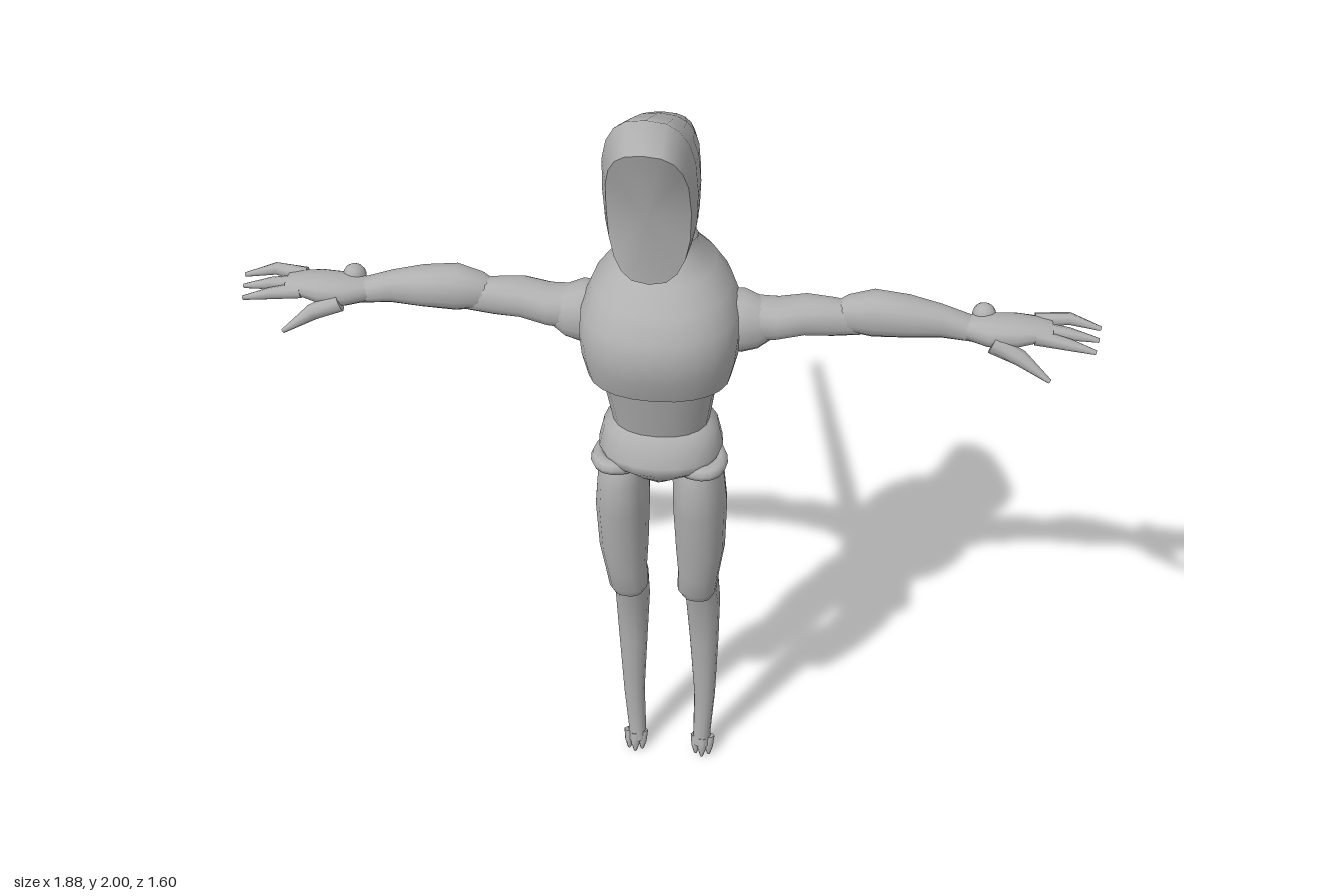
import * as THREE from 'three';

const bodyGrey = new THREE.MeshStandardMaterial({ color: 0xb0b0b0 });
bodyGrey.name = 'body grey';
const V = (x, y, z) => new THREE.Vector3(x, y, z);

// Skin a list of rings, with crisp flat caps, always facing outward
function skin(rings) {
  const n = rings[0].length, pos = [], idx = [];
  const put = p => pos.push(p.x, p.y, p.z) / 3 - 1;
  rings.forEach(r => r.forEach(put));
  for (let i = 0; i < rings.length - 1; i++) {
    for (let j = 0; j < n; j++) {
      const a = i * n + j, b = i * n + (j + 1) % n;
      idx.push(a, b, b + n, a, b + n, a + n);
    }
  }
  [rings[0], rings[rings.length - 1]].forEach((r, end) => {
    const c = put(r.reduce((s, p) => s.add(p), V(0, 0, 0)).divideScalar(n));
    const start = c + 1;
    r.forEach(put);
    for (let j = 0; j < n; j++) {
      const a = start + j, b = start + (j + 1) % n;
      if (end) idx.push(c, a, b); else idx.push(c, b, a);
    }
  });
  const at = i => V(pos[i * 3], pos[i * 3 + 1], pos[i * 3 + 2]);
  const o = at(0);
  let vol = 0;
  for (let i = 0; i < idx.length; i += 3) {
    const [a, b, c] = [at(idx[i]).sub(o), at(idx[i + 1]).sub(o), at(idx[i + 2]).sub(o)];
    vol += a.dot(b.cross(c));
  }
  if (vol < 0) idx.reverse();
  const g = new THREE.BufferGeometry();
  g.setAttribute('position', new THREE.Float32BufferAttribute(pos, 3));
  g.setIndex(idx);
  g.computeVertexNormals();
  return g;
}

// Rounded unit ring; a lower power is boxier
function unitRing(n, power = 1) {
  const f = v => Math.sign(v) * Math.pow(Math.abs(v), power);
  return Array.from({ length: n }, (_, i) => {
    const a = i / n * Math.PI * 2;
    return [f(Math.cos(a)), f(Math.sin(a))];
  });
}

// Rows: [station, uMin, uMax, zMin, zMax]; u is x for upright parts, y for arms
function loft(rows, along = 'y', side = 1, n = 16, power = 0.9) {
  return skin(rows.map(([s, u0, u1, z0, z1]) => unitRing(n, power).map(([a, b]) => {
    const u = (u0 + u1) / 2 + a * (u1 - u0) / 2;
    const z = (z0 + z1) / 2 + b * (z1 - z0) / 2;
    return along === 'y' ? V(u * side, s, z) : V(s * side, u, z);
  })));
}

// Round tapering limb through points [x, y, z, radius]
function taper(points, side = 1, n = 8) {
  const ps = points.map(p => V(p[0] * side, p[1], p[2]));
  return skin(ps.map((p, i) => {
    const dir = ps[Math.min(i + 1, ps.length - 1)].clone().sub(ps[Math.max(i - 1, 0)]).normalize();
    const q = new THREE.Quaternion().setFromUnitVectors(V(0, 0, 1), dir);
    return unitRing(n).map(([a, b]) => V(a, b, 0).multiplyScalar(points[i][3]).applyQuaternion(q).add(p));
  }));
}

export function createModel() {
  const model = new THREE.Group();
  model.name = 'tailedFigure';
  const add = (name, geometry) => {
    const m = new THREE.Mesh(geometry, bodyGrey);
    m.name = name;
    model.add(m);
    return m;
  };
  const sym = rows => rows.map(([y, w, z0, z1]) => [y, -w, w, z0, z1]);

  // Swept-back head: [topZ, topY, bottomZ, bottomY, halfWidth, bow]
  const head = [
    [0.80, 1.95, 0.74, 1.62, 0.085, 0.045], [0.75, 2.0, 0.70, 1.635, 0.096, 0.025],
    [0.66, 1.96, 0.62, 1.66, 0.095, 0], [0.56, 1.915, 0.55, 1.69, 0.085, 0],
    [0.48, 1.875, 0.47, 1.745, 0.066, 0], [0.41, 1.815, 0.415, 1.785, 0.035, 0],
  ];
  add('head', skin(head.map(([tz, ty, bz, by, w, bow]) => unitRing(20, 0.75).map(([a, b]) => {
    const t = (b + 1) / 2;
    return V(a * w, by + (ty - by) * t, bz + (tz - bz) * t - bow * (1 - b * b));
  }))));

  // Neck core and overlapping plates
  add('neck', taper([[0, 1.56, 0.50, 0.06], [0, 1.76, 0.53, 0.055]], 1, 16));
  for (let i = 0; i < 4; i++) {
    const plate = add('neckPlate', new THREE.CylinderGeometry(0.052, 0.076, 0.045, 18));
    plate.position.set(0, 1.625 + i * 0.042, 0.508 + i * 0.005);
    plate.rotation.x = -0.12;
  }

  // Torso
  add('chest', loft(sym([
    [1.615, 0.068, 0.435, 0.58], [1.58, 0.076, 0.425, 0.59], [1.54, 0.115, 0.39, 0.63],
    [1.50, 0.15, 0.375, 0.685], [1.45, 0.173, 0.375, 0.72], [1.40, 0.176, 0.40, 0.728],
    [1.35, 0.17, 0.435, 0.72], [1.295, 0.156, 0.47, 0.70],
  ]), 'y', 1, 24));
  add('abdomen', loft(sym([
    [1.32, 0.138, 0.468, 0.69], [1.24, 0.12, 0.482, 0.67], [1.14, 0.105, 0.485, 0.645],
  ]), 'y', 1, 20));
  add('backSpout', taper([[0, 1.40, 0.46, 0.065], [0, 1.412, 0.39, 0.055],
    [0, 1.42, 0.35, 0.036], [0, 1.424, 0.32, 0.014]], 1, 14));

  // Pelvis tapering to the crotch
  add('pelvis', loft(sym([
    [1.165, 0.105, 0.49, 0.645], [1.15, 0.128, 0.475, 0.665], [1.10, 0.14, 0.463, 0.69],
    [1.075, 0.13, 0.468, 0.685], [1.05, 0.085, 0.48, 0.665], [1.02, 0.025, 0.51, 0.635],
  ]), 'y', 1, 20));

  // Tail with a flared root
  add('tailRoot', taper([[0, 1.10, 0.50, 0.055], [0, 1.085, 0.44, 0.04], [0, 1.07, 0.39, 0.032]], 1, 12));
  add('tail', taper([[0, 1.092, 0.48, 0.035], [0, 0.655, -0.797, 0.014]], 1, 12));

  for (const side of [1, -1]) {
    const tag = side > 0 ? 'left' : 'right';

    // Hip band, thigh and shin
    const band = add(tag + 'HipBand', new THREE.TorusGeometry(0.064, 0.017, 8, 20));
    band.position.set(side * 0.077, 1.065, 0.578);
    band.rotation.set(Math.PI / 2 - 0.1, side * -0.45, 0, 'ZYX');
    band.scale.set(0.85, 1.3, 1);
    band.rotation.set(Math.PI / 2 - 0.1, side * 0.45, 0);
    add(tag + 'Thigh', loft([
      [1.07, 0.035, 0.12, 0.52, 0.65], [1.02, 0.027, 0.143, 0.495, 0.672],
      [0.93, 0.027, 0.151, 0.495, 0.665], [0.80, 0.032, 0.147, 0.51, 0.645],
      [0.72, 0.037, 0.135, 0.525, 0.63], [0.66, 0.035, 0.128, 0.535, 0.615],
      [0.632, 0.05, 0.115, 0.555, 0.598],
    ], 'y', side));
    add(tag + 'Shin', loft([
      [0.78, 0.075, 0.10, 0.51, 0.535], [0.70, 0.055, 0.12, 0.475, 0.56],
      [0.62, 0.044, 0.127, 0.45, 0.565], [0.55, 0.044, 0.129, 0.444, 0.528],
      [0.40, 0.053, 0.125, 0.44, 0.51], [0.20, 0.064, 0.117, 0.442, 0.497],
      [0.07, 0.062, 0.107, 0.447, 0.498], [0.035, 0.062, 0.108, 0.455, 0.505],
    ], 'y', side, 14));
    for (const [x, z] of [[0.07, 0.49], [0.087, 0.50], [0.104, 0.49], [0.087, 0.465]]) {
      add(tag + 'Toe', taper([[x, 0.055, z - 0.01, 0.014], [x, 0.025, z, 0.011], [x, 0.002, z + 0.004, 0.004]], side, 6));
    }

    // Arm
    add(tag + 'Shoulder', loft([
      [0.12, 1.35, 1.47, 0.47, 0.595], [0.175, 1.335, 1.475, 0.465, 0.595],
      [0.21, 1.345, 1.46, 0.475, 0.585], [0.25, 1.375, 1.45, 0.49, 0.565],
    ], 'x', side, 14));
    add(tag + 'UpperArm', loft([
      [0.18, 1.36, 1.46, 0.475, 0.58], [0.25, 1.37, 1.458, 0.475, 0.58],
      [0.31, 1.382, 1.467, 0.472, 0.572], [0.37, 1.38, 1.463, 0.48, 0.56],
      [0.43, 1.385, 1.455, 0.49, 0.55],
    ], 'x', side, 14));
    add(tag + 'Forearm', loft([
      [0.36, 1.40, 1.445, 0.495, 0.54], [0.40, 1.392, 1.472, 0.48, 0.555],
      [0.455, 1.385, 1.487, 0.468, 0.566], [0.53, 1.387, 1.478, 0.47, 0.562],
      [0.60, 1.39, 1.462, 0.482, 0.55], [0.665, 1.385, 1.44, 0.487, 0.548],
    ], 'x', side, 14));
    const knob = add(tag + 'WristKnob', new THREE.SphereGeometry(0.026, 12, 8));
    knob.position.set(side * 0.69, 1.435, 0.495);
    add(tag + 'Palm', loft([
      [0.645, 1.392, 1.438, 0.49, 0.545], [0.70, 1.385, 1.448, 0.478, 0.572],
      [0.76, 1.388, 1.45, 0.476, 0.572], [0.81, 1.403, 1.444, 0.482, 0.56],
      [0.835, 1.41, 1.438, 0.487, 0.553],
    ], 'x', side, 12));
    const fingers = [
      [[0.80, 1.427, 0.495, 0.018], [0.87, 1.435, 0.49, 0.014], [0.94, 1.418, 0.497, 0.005]],
      [[0.80, 1.425, 0.523, 0.018], [0.87, 1.422, 0.53, 0.014], [0.935, 1.41, 0.53, 0.005]],
      [[0.80, 1.42, 0.547, 0.018], [0.87, 1.412, 0.556, 0.013], [0.928, 1.402, 0.565, 0.005]],
      [[0.71, 1.405, 0.56, 0.022], [0.77, 1.383, 0.575, 0.018], [0.835, 1.342, 0.597, 0.005]],
    ];
    fingers.forEach((f, i) => add(tag + (i < 3 ? 'Finger' : 'Thumb'), taper(f, side)));
  }
  return model;
}
